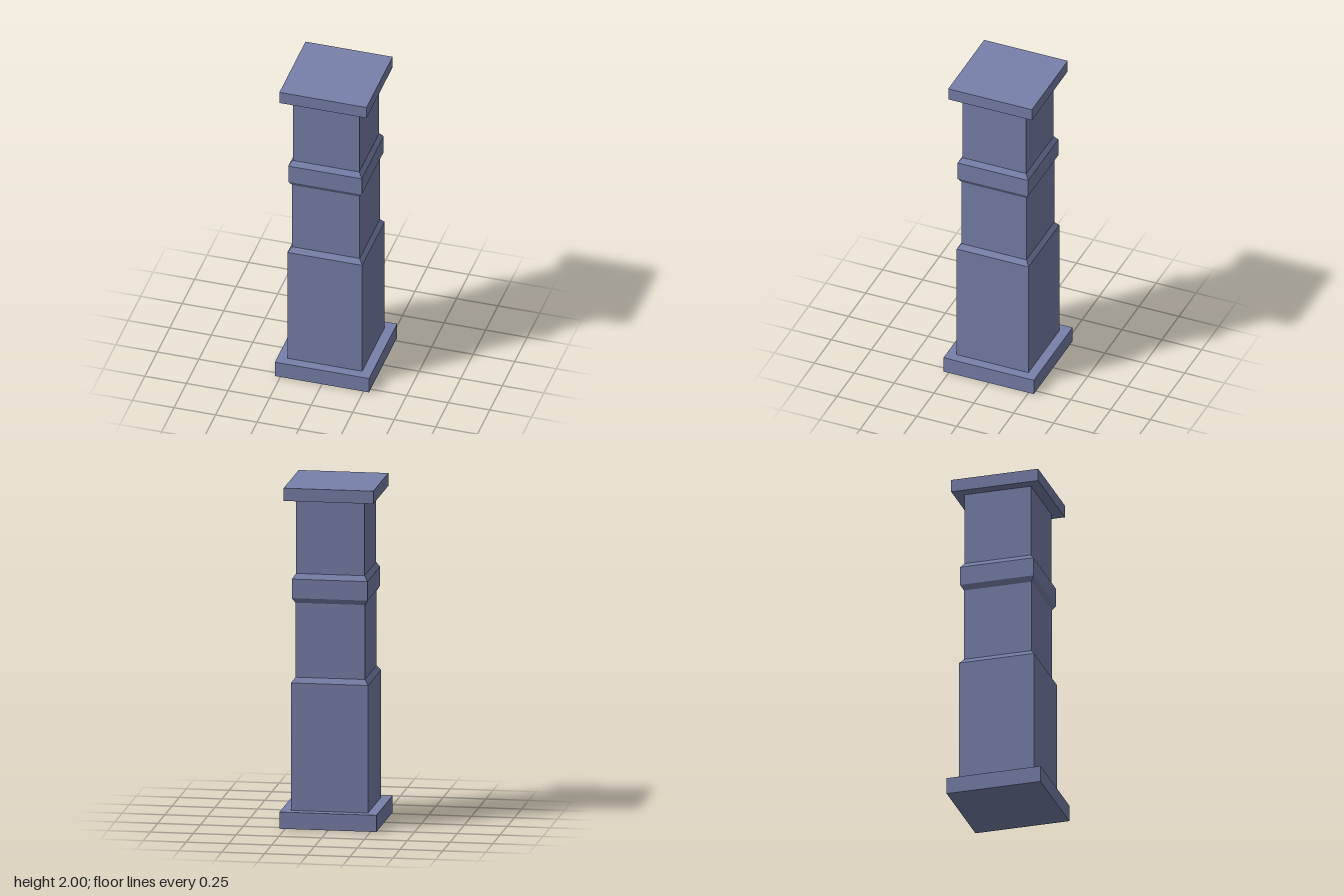
import * as THREE from 'three';

const material = new THREE.MeshStandardMaterial({ color: 0x7880aa, flatShading: true });

// Square part swept from a profile of [half width, height], bottom to top
function squarePart(name, profile) {
  const points = profile.map(([half, y]) => new THREE.Vector2(half * Math.SQRT2, y));
  const geometry = new THREE.LatheGeometry(points, 4, Math.PI / 4);
  const mesh = new THREE.Mesh(geometry, material);
  mesh.name = name;
  return mesh;
}

// Plain square slab
function slab(name, half, bottom, top) {
  const geometry = new THREE.BoxGeometry(half * 2, top - bottom, half * 2);
  const mesh = new THREE.Mesh(geometry, material);
  mesh.position.y = (bottom + top) / 2;
  mesh.name = name;
  return mesh;
}

export function createModel() {
  const pillar = new THREE.Group();
  pillar.name = 'squarePillar';

  pillar.add(
    slab('plinth', 0.283, 0, 0.098),
    // Wide lower shaft with a sloped shoulder
    squarePart('lowerShaft', [[0.225, 0.098], [0.225, 0.848], [0.203, 0.878]]),
    squarePart('middleShaft', [[0.203, 0.878], [0.203, 1.316]]),
    // Raised band, bevelled below and above
    squarePart('band', [[0.203, 1.316], [0.221, 1.346], [0.221, 1.458], [0.2, 1.488]]),
    squarePart('upperShaft', [[0.2, 1.488], [0.2, 1.925]]),
    slab('capital', 0.262, 1.925, 2)
  );
  return pillar;
}
